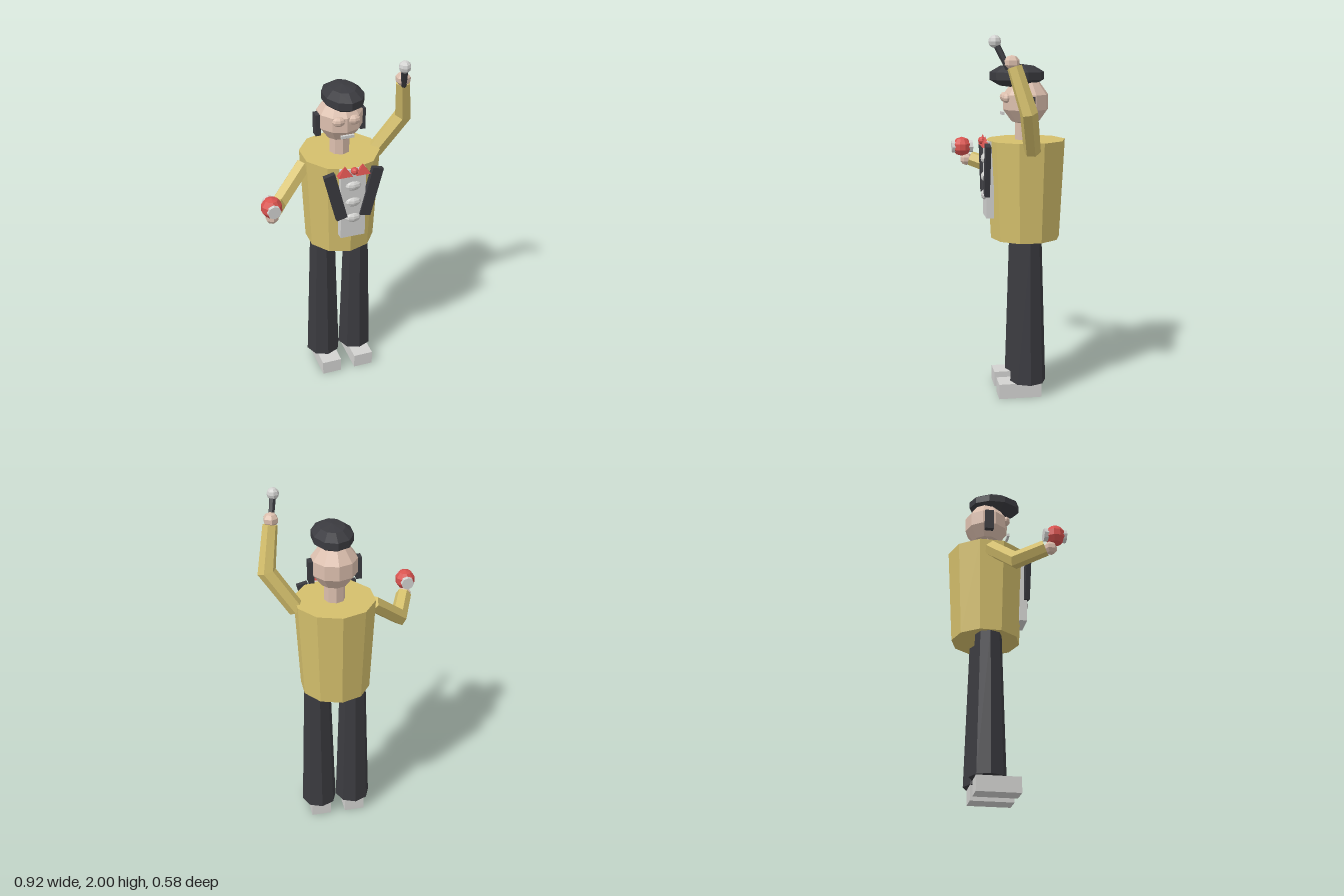
import * as THREE from 'three';

const paint = (name, color) => Object.assign(new THREE.MeshStandardMaterial({ color, flatShading: true }), { name });
const V = (x, y, z) => new THREE.Vector3(x, y, z);

// Six-sided sleeve with a mitred elbow: a three-row cylinder bent along shoulder, elbow, wrist
function sleeveGeometry(points, radii) {
  const geo = new THREE.CylinderGeometry(1, 1, 2, 6, 2);
  const [a, b, c] = points;
  const t0 = b.clone().sub(a).normalize();
  const t1 = c.clone().sub(b).normalize();
  const side = t0.clone().cross(t1).normalize();
  const mid = t0.clone().add(t1).normalize();
  const stretch = 1 / mid.dot(t0);
  const ups = [t0, mid, t1].map((t, i) => side.clone().cross(t).multiplyScalar(i === 1 ? stretch : 1));
  const pos = geo.attributes.position;
  for (let k = 0; k < pos.count; k++) {
    const i = Math.round(pos.getY(k)) + 1;
    const p = points[i].clone()
      .addScaledVector(side, pos.getX(k) * radii[i])
      .addScaledVector(ups[i], pos.getZ(k) * radii[i]);
    pos.setXYZ(k, p.x, p.y, p.z);
  }
  geo.computeVertexNormals();
  return geo;
}

export function createModel() {
  const model = new THREE.Group();
  model.name = 'singer';

  const yellow = paint('yellow jacket', 0xd4bf6c);
  const dark = paint('charcoal', 0x3b3b40);
  const skin = paint('skin', 0xdcbfae);
  const white = paint('light grey', 0xd2d2d0);
  const red = paint('red', 0xd9534f);

  const add = (name, geo, mat, x = 0, y = 0, z = 0) => {
    const mesh = new THREE.Mesh(geo, mat);
    mesh.name = name;
    mesh.position.set(x, y, z);
    model.add(mesh);
    return mesh;
  };
  const box = (w, h, d) => new THREE.BoxGeometry(w, h, d);
  // Faceted ellipsoid with a corner facing front and back
  const ball = (rx, ry, rz, sides = 10, rings = 5) =>
    new THREE.SphereGeometry(1, sides, rings).rotateY(Math.PI / 2).scale(rx, ry, rz);

  const CX = 0.06, CZ = -0.07;

  // Torso and neck
  add('torso', new THREE.CylinderGeometry(0.22, 0.192, 0.545, 10), yellow, CX, 1.163, CZ);
  add('neck', new THREE.CylinderGeometry(0.057, 0.057, 0.14, 8), skin, CX, 1.49, CZ);

  // Head and beret
  add('head', ball(0.13, 0.13, 0.13), skin, CX, 1.64, CZ);
  add('beret', ball(0.115, 0.065, 0.157), dark, CX, 1.78, -0.022);
  add('mouth', box(0.074, 0.016, 0.014), white, CX, 1.58, 0.058);

  // Shirt front with ruffles
  add('shirtFront', box(0.14, 0.42, 0.042), white, CX, 1.224, 0.135);
  for (const y of [1.335, 1.235, 1.135]) {
    add('ruffle', ball(0.046, 0.027, 0.022, 8, 6), white, CX, y, 0.155);
  }

  // Mirrored parts
  for (const s of [-1, 1]) {
    add('trouserLeg', new THREE.CylinderGeometry(0.074, 0.1, 0.82, 8), dark, CX + s * 0.101, 0.495, CZ);
    add('shoe', box(0.115, 0.085, 0.24), white, CX + s * 0.1, 0.0425, -0.02);
    add('sideburn', box(0.03, 0.122, 0.05), dark, CX + s * 0.126, 1.613, -0.073);
    add('eyelid', ball(0.038, 0.027, 0.025, 8, 6), skin, CX + s * 0.042, 1.664, 0.04);
    add('lapel', box(0.062, 0.288, 0.028), dark, CX + s * 0.101, 1.283, 0.154).rotation.z = -s * 0.25;
    const bow = new THREE.ConeGeometry(Math.SQRT1_2, 0.058, 4).rotateY(Math.PI / 4).scale(0.08, 1, 0.038);
    add('bowTieWing', bow, red, CX + s * 0.05, 1.433, 0.158);
  }
  add('bowTieKnot', ball(0.021, 0.021, 0.021, 8, 6), red, CX, 1.433, 0.17);

  // Right arm, held out
  add('rightSleeve', sleeveGeometry(
    [V(-0.145, 1.38, -0.07), V(-0.325, 1.22, 0.03), V(-0.392, 1.272, 0.18)],
    [0.046, 0.046, 0.044]), yellow);
  add('rightHand', ball(0.037, 0.037, 0.037, 6, 5), skin, -0.405, 1.267, 0.205);

  // Red ball with a light core
  add('heldBall', ball(0.057, 0.057, 0.057), red, -0.412, 1.341, 0.23);
  add('heldBallCore', new THREE.CylinderGeometry(0.036, 0.036, 0.124, 8).rotateX(Math.PI / 2),
    white, -0.412, 1.341, 0.228);

  // Left arm, raised
  add('leftSleeve', sleeveGeometry(
    [V(0.263, 1.395, -0.072), V(0.408, 1.61, -0.028), V(0.37, 1.84, 0.04)],
    [0.046, 0.047, 0.04]), yellow);
  add('leftHand', ball(0.042, 0.038, 0.042, 6, 5), skin, 0.364, 1.862, 0.053);

  // Microphone
  const from = V(0.362, 1.83, 0.07), to = V(0.338, 1.955, 0.13);
  const axis = to.clone().sub(from);
  const centre = from.clone().add(to).multiplyScalar(0.5);
  const handle = add('microphoneHandle', new THREE.CylinderGeometry(0.018, 0.015, axis.length(), 6),
    dark, centre.x, centre.y, centre.z);
  handle.quaternion.setFromUnitVectors(V(0, 1, 0), axis.normalize());
  add('microphoneHead', ball(0.033, 0.033, 0.033, 8, 6), white, 0.336, 1.967, 0.136);

  return model;
}
